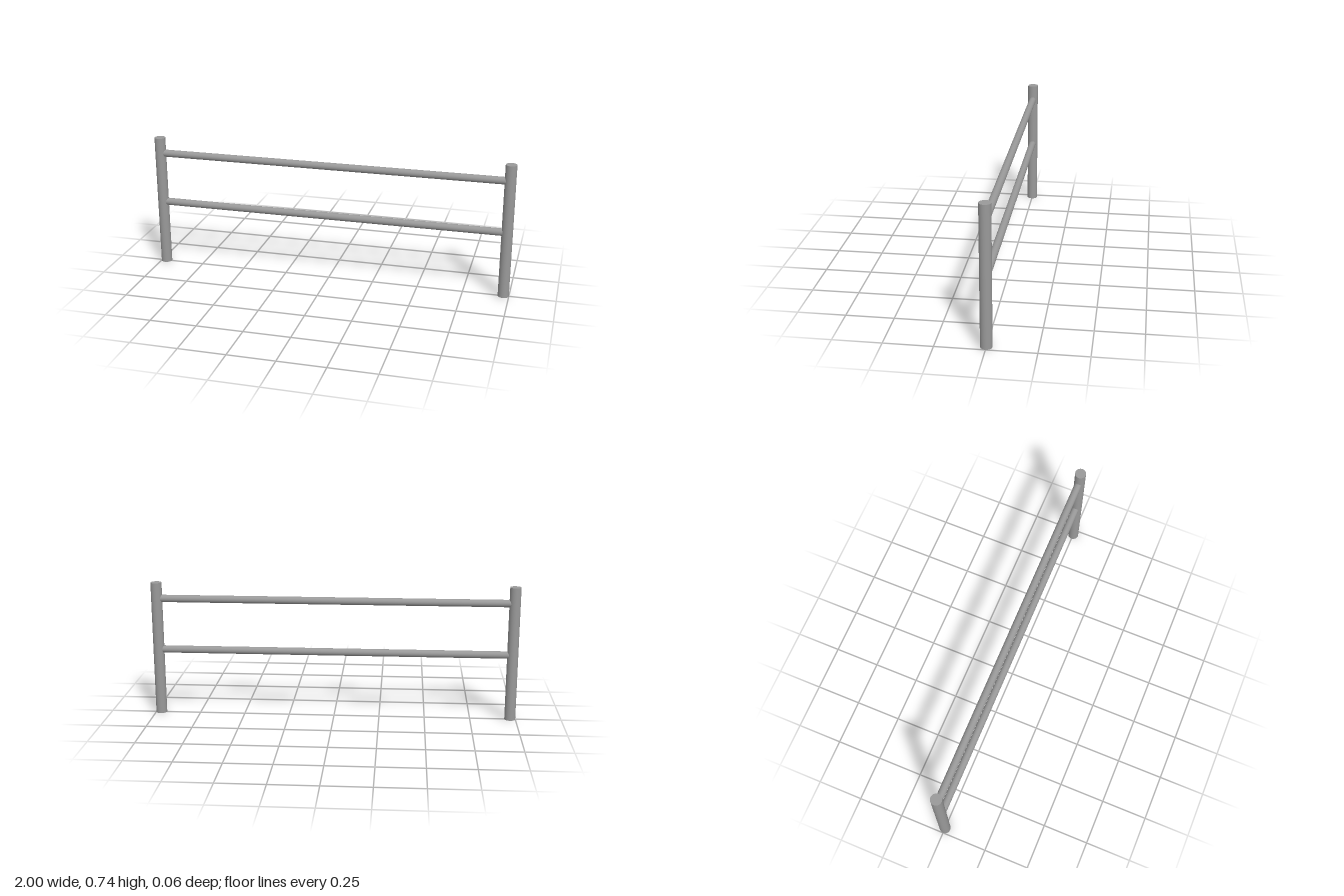
import * as THREE from 'three';
import { mergeGeometries } from 'three/addons/utils/BufferGeometryUtils.js';

const POST_RADIUS = 0.03;
const POST_HEIGHT = 0.741;
const POST_X = 1 - POST_RADIUS;
const RAIL_RADIUS = 0.02;

// Tube standing on y = 0, closed at the top and open at the foot
function createPostGeometry() {
  const wall = new THREE.CylinderGeometry(POST_RADIUS, POST_RADIUS, POST_HEIGHT, 32, 1, true);
  wall.translate(0, POST_HEIGHT / 2, 0);
  const cap = new THREE.CircleGeometry(POST_RADIUS, 32);
  cap.rotateX(-Math.PI / 2);
  cap.translate(0, POST_HEIGHT, 0);
  return mergeGeometries([wall, cap]);
}

export function createModel() {
  const group = new THREE.Group();
  group.name = 'railFence';
  const material = new THREE.MeshStandardMaterial({ color: 0x999999, side: THREE.DoubleSide });

  // Upright round posts at both ends
  const postGeometry = createPostGeometry();
  for (const [name, side] of [['leftPost', 1], ['rightPost', -1]]) {
    const post = new THREE.Mesh(postGeometry, material);
    post.name = name;
    post.position.x = side * POST_X;
    group.add(post);
  }

  // Thinner horizontal rails, running into the posts
  const railGeometry = new THREE.CylinderGeometry(RAIL_RADIUS, RAIL_RADIUS, POST_X * 2, 32);
  railGeometry.rotateZ(Math.PI / 2);
  for (const [name, y] of [['upperRail', 0.652], ['lowerRail', 0.366]]) {
    const rail = new THREE.Mesh(railGeometry, material);
    rail.name = name;
    rail.position.y = y;
    group.add(rail);
  }

  return group;
}
